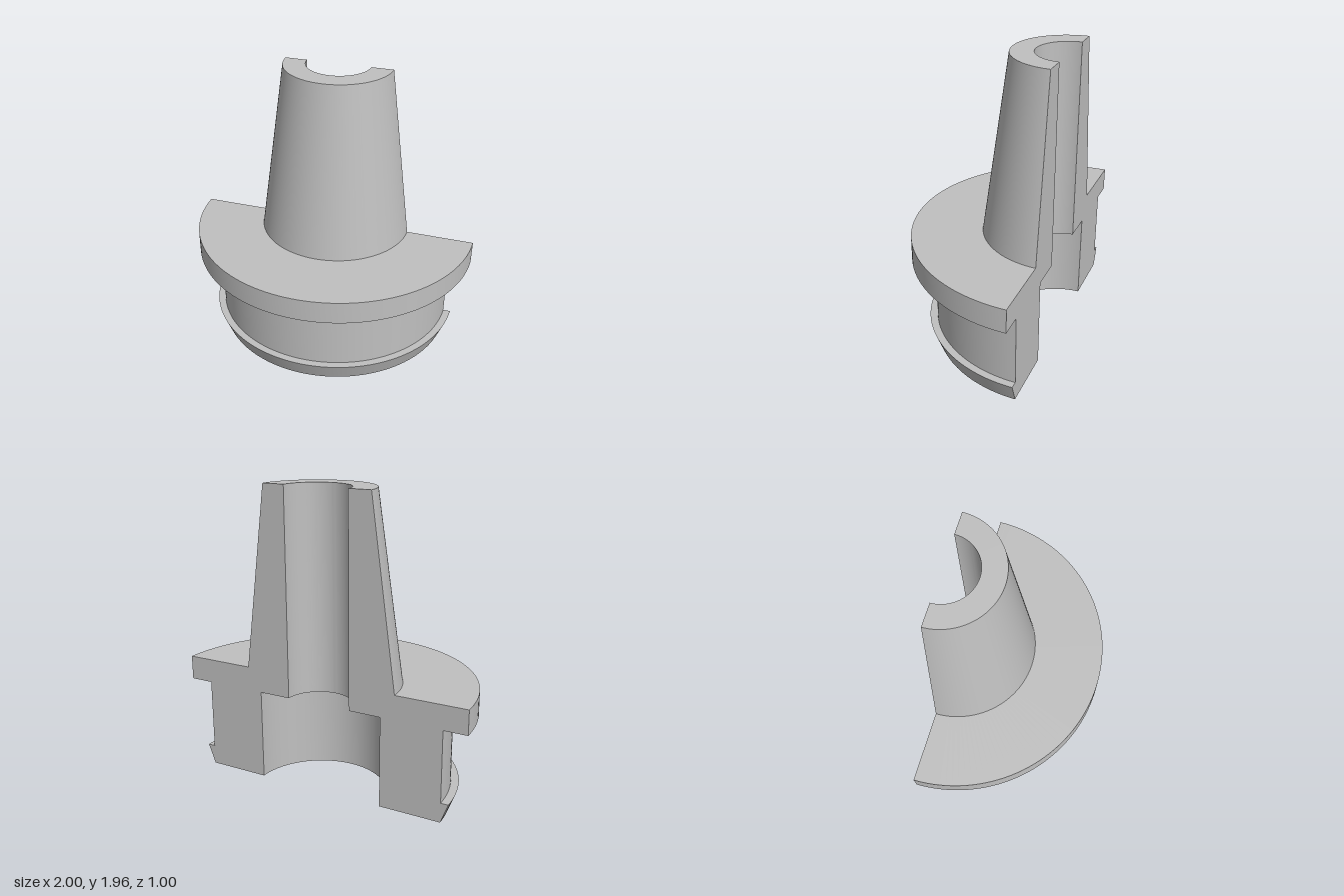
import * as THREE from 'three';
import { toCreasedNormals } from 'three/addons/utils/BufferGeometryUtils.js';

const AXIS_Z = -0.5;
const v = ([x, y]) => new THREE.Vector2(x, y);

// Outside of the half section, from the bottom rim up to the top rim
const outer = [
  [0.435, 0], [0.845, 0], [0.895, 0.13], [0.845, 0.13], [0.845, 0.6],
  [1, 0.6], [1, 0.76], [0.53, 0.76], [0.37, 1.96], [0.22, 1.96],
].map(v);

// Stepped bore, from the top back down to the bottom rim
const bore = [[0.22, 1.96], [0.22, 0.6], [0.435, 0.6], [0.435, 0]].map(v);

// Half turn of a profile with sharp edges between its bands
function halfTurn(points) {
  const lathe = new THREE.LatheGeometry(points, 72, -Math.PI / 2, Math.PI);
  return toCreasedNormals(lathe, 0.2);
}

export function createModel() {
  const model = new THREE.Group();
  model.name = 'sectionedFlangedNozzle';
  const grey = new THREE.MeshStandardMaterial({ color: 0xc0c0c0 });
  grey.name = 'lightGrey';

  function add(name, geometry) {
    const mesh = new THREE.Mesh(geometry, grey);
    mesh.name = name;
    mesh.position.z = AXIS_Z;
    model.add(mesh);
  }

  // Lip, body, flange and tapered spout
  add('outerShell', halfTurn(outer));
  add('steppedBore', halfTurn(bore));

  // Flat cut faces on both sides of the bore, facing the back
  const section = [...outer, ...bore.slice(1, -1)];
  for (const [name, side] of [['leftCutFace', 1], ['rightCutFace', -1]]) {
    const shape = new THREE.Shape(section.map((p) => new THREE.Vector2(-side * p.x, p.y)));
    add(name, new THREE.ShapeGeometry(shape).rotateY(Math.PI));
  }
  return model;
}
